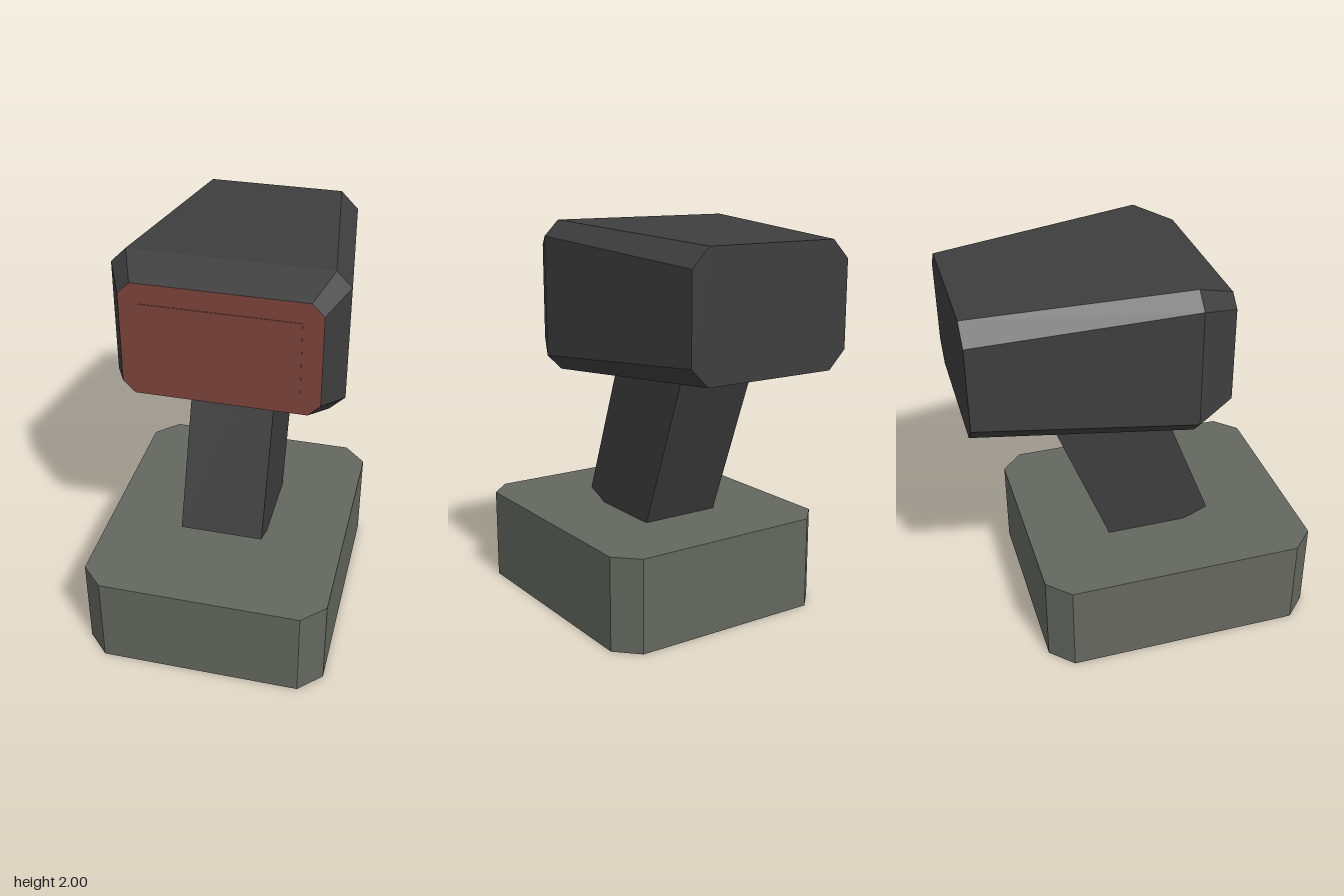
import * as THREE from 'three';

const flat = (name, color) => {
  const m = new THREE.MeshStandardMaterial({ color, flatShading: true });
  m.name = name;
  return m;
};

// Chamfered rectangle, counter-clockwise, as [x, y] corners
function octagon(w, y0, y1, c) {
  return [
    [w, y0 + c], [w, y1 - c], [w - c, y1], [c - w, y1],
    [-w, y1 - c], [-w, y0 + c], [c - w, y0], [w - c, y0],
  ];
}

// Skin cross-sections ordered from back to front; group 0 is the body, group 1 the front cap
function loft(sections) {
  const rings = sections.map(({ z, w, y0, y1, c }) =>
    octagon(w, y0, y1, c).map(([x, y]) => [x, y, z]));
  const pos = [];
  const tri = (a, b, c) => pos.push(...a, ...b, ...c);
  for (let s = 0; s < rings.length - 1; s++) {
    const a = rings[s], b = rings[s + 1];
    for (let i = 0; i < 8; i++) {
      const j = (i + 1) % 8;
      tri(a[i], a[j], b[j]);
      tri(a[i], b[j], b[i]);
    }
  }
  const back = rings[0], front = rings[rings.length - 1];
  for (let i = 1; i < 7; i++) tri(back[0], back[i + 1], back[i]);
  const bodyCount = pos.length / 3;
  for (let i = 1; i < 7; i++) tri(front[0], front[i], front[i + 1]);
  const g = new THREE.BufferGeometry();
  g.setAttribute('position', new THREE.Float32BufferAttribute(pos, 3));
  g.addGroup(0, bodyCount, 0);
  g.addGroup(bodyCount, 18, 1);
  g.computeVertexNormals();
  return g;
}

export function createModel() {
  const model = new THREE.Group();
  const charcoal = flat('charcoal', 0x3e3e3e);
  const grey = flat('olive grey', 0x64675f);
  const red = flat('dull red', 0x7d443b);

  const add = (name, geometry, material) => {
    const mesh = new THREE.Mesh(geometry, material);
    mesh.name = name;
    model.add(mesh);
    return mesh;
  };

  // Base block with chamfered upright corners
  const outline = octagon(0.62, -0.86, 0.573, 0.113).map(([x, y]) => new THREE.Vector2(x, y));
  const base = new THREE.ExtrudeGeometry(new THREE.Shape(outline), { depth: 0.48, bevelEnabled: false });
  base.rotateX(-Math.PI / 2);
  add('base', base, grey);

  // Leaning handle, sunk into base and head
  const handle = add('handle', new THREE.BoxGeometry(0.425, 1.15, 0.527), charcoal);
  handle.position.set(0, 0.973, -0.062);
  handle.rotation.x = THREE.MathUtils.degToRad(-21);

  // Head tapering to the back, with a bevelled front and red face
  add('head', loft([
    { z: -0.86, w: 0.445, y0: 1.325, y1: 1.935, c: 0.092 },
    { z: 0.19, w: 0.572, y0: 1.258, y1: 2.0, c: 0.076 },
    { z: 0.38, w: 0.482, y0: 1.332, y1: 1.925, c: 0.06 },
  ]), [charcoal, red]);

  // Thin panel on the front face
  const panel = add('facePanel', new THREE.BoxGeometry(0.768, 0.41, 0.006), red);
  panel.position.set(0, 1.616, 0.38);

  return model;
}
